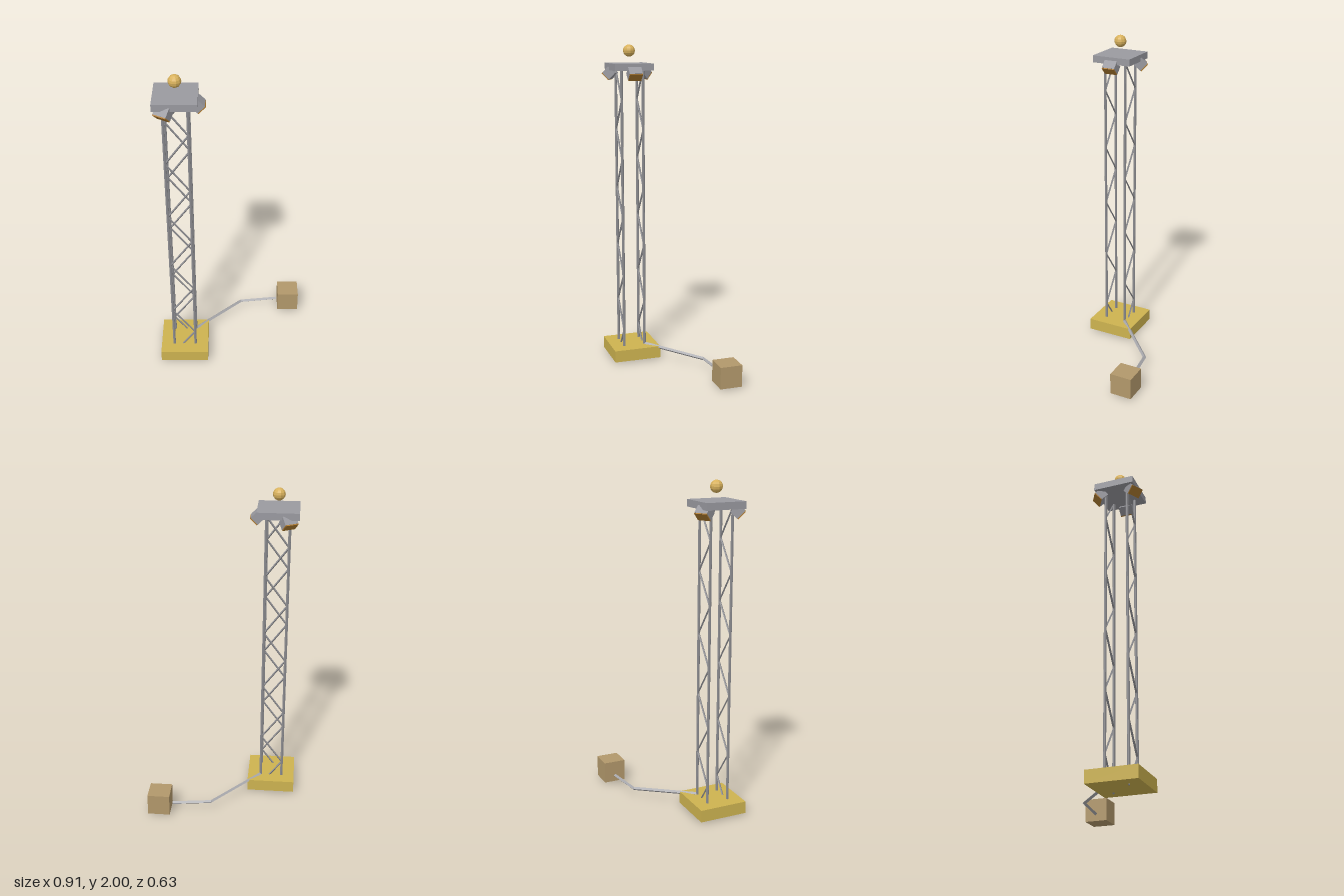
import * as THREE from 'three';

const material = (color) => new THREE.MeshStandardMaterial({ color, flatShading: true });
const steel = material(0x8c8c90);
const plateGrey = material(0x9a9aa0);
const gold = material(0xcdb350);
const bulbGold = material(0xd9b25c);
const lensAmber = material(0xb07c30);
const wood = material(0xb2986b);
const cableGrey = material(0xa8a8ac);

function box(name, size, position, mat) {
  const mesh = new THREE.Mesh(new THREE.BoxGeometry(...size), mat);
  mesh.name = name;
  mesh.position.set(...position);
  return mesh;
}

// straight bar between two points, with one ridge facing up
function bar(name, from, to, radius, sides, mat) {
  const a = new THREE.Vector3(...from);
  const b = new THREE.Vector3(...to);
  const geometry = new THREE.CylinderGeometry(radius, radius, a.distanceTo(b), sides);
  geometry.rotateX(Math.PI / 2);
  const mesh = new THREE.Mesh(geometry, mat);
  mesh.name = name;
  mesh.position.copy(a).add(b).multiplyScalar(0.5);
  mesh.lookAt(b);
  return mesh;
}

// floodlight tilted 45 degrees down along its local +x
function floodlight(angle) {
  const pivot = new THREE.Group();
  pivot.name = 'floodlight';
  pivot.rotation.y = angle;
  const head = new THREE.Group();
  head.name = 'floodlightHead';
  head.position.set(0.123, 1.826, 0);
  head.rotation.z = -Math.PI / 4;
  head.add(box('lampHousing', [0.054, 0.059, 0.083], [-0.003, 0, 0], plateGrey));
  head.add(box('lens', [0.006, 0.057, 0.081], [0.027, 0, 0], lensAmber));
  pivot.add(head);
  return pivot;
}

export function createModel() {
  const model = new THREE.Group();
  model.name = 'lightTower';

  const tower = new THREE.Group();
  tower.name = 'tower';
  tower.position.set(-0.304, 0, 0.148);
  model.add(tower);

  // base and top platform
  tower.add(box('base', [0.3, 0.075, 0.3], [0, 0.0475, 0], gold));
  tower.add(box('platform', [0.246, 0.042, 0.246], [0, 1.866, 0], plateGrey));

  // corner posts, with opposed zigzag bracing on the front and back
  const half = 0.068;
  const panels = 10;
  const bottom = 0.004;
  const step = (1.85 - bottom) / panels;
  for (const side of [1, -1]) {
    const z = side * half;
    for (const x of [-half, half]) {
      tower.add(bar('post', [x, 0.012, z], [x, 1.85, z], 0.009, 6, steel));
    }
    for (let i = 0; i < panels; i++) {
      const x = (i % 2 ? half : -half) * side;
      const y = bottom + i * step;
      tower.add(bar('brace', [x, y, z], [-x, y + step, z], 0.006, 4, steel));
    }
  }

  // three floodlights around the platform
  for (let i = 0; i < 3; i++) tower.add(floodlight((i * Math.PI * 2) / 3));

  // beacon above the platform
  const beacon = new THREE.Mesh(new THREE.SphereGeometry(0.037, 10, 8), bulbGold);
  beacon.name = 'beacon';
  beacon.position.y = 1.963;
  tower.add(beacon);

  // cable running from a rear post to the power crate
  const joints = [[-0.236, 0.087, 0.08], [0.064, 0.055, -0.217], [0.306, 0.053, -0.248]];
  for (let i = 0; i < 2; i++) model.add(bar('cable', joints[i], joints[i + 1], 0.011, 4, cableGrey));
  model.add(box('powerCrate', [0.137, 0.135, 0.137], [0.384, 0.0775, -0.248], wood));

  return model;
}
